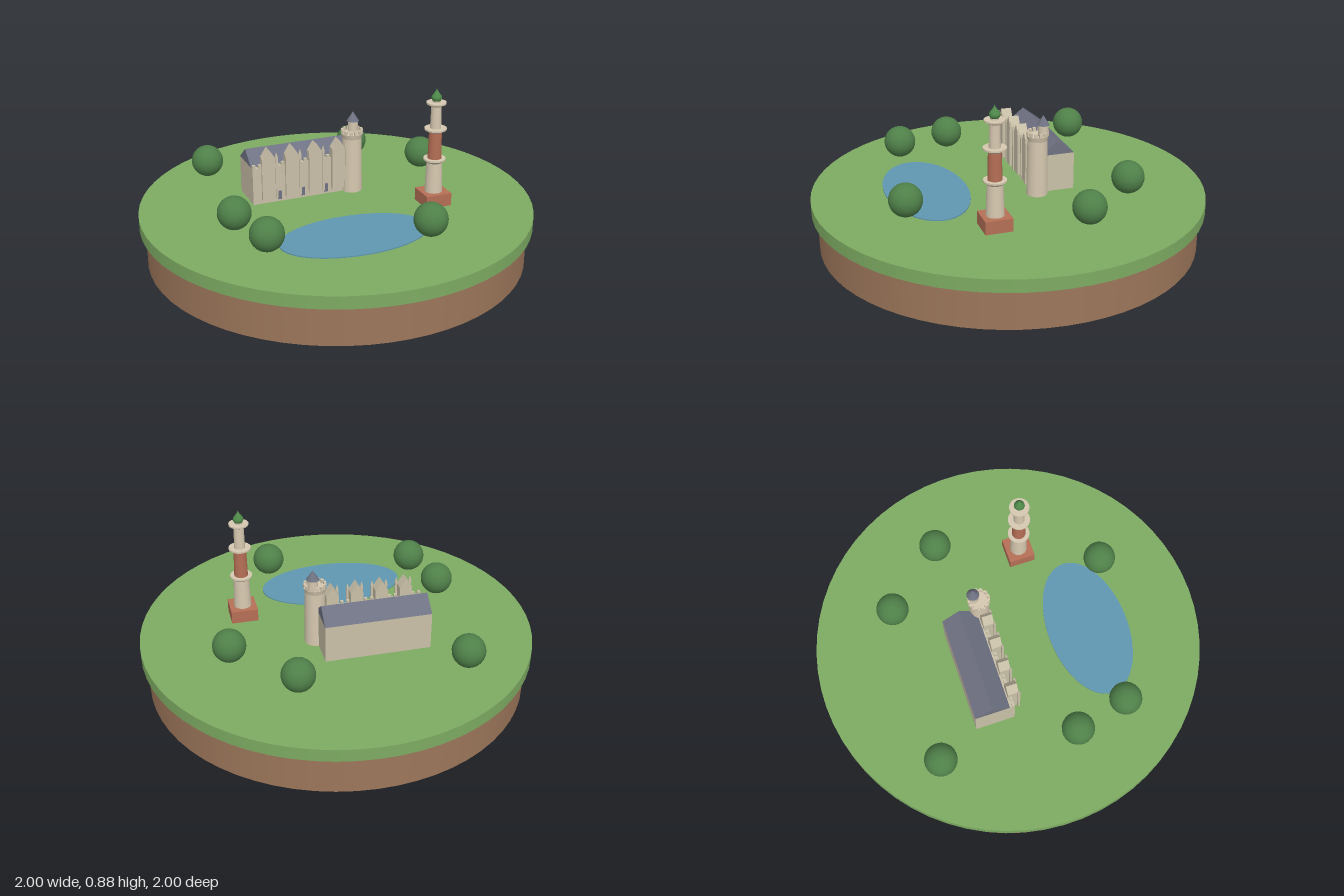
import * as THREE from 'three';

const mat = (name, color, extra = {}) => {
  const m = new THREE.MeshStandardMaterial({ color, ...extra });
  m.name = name;
  return m;
};

export function createModel() {
  const grass = mat('grass', 0x7dab62);
  const earth = mat('earth', 0x9c765a);
  const water = mat('water', 0x5f97b0);
  const stone = mat('stone', 0xc9c0a8);
  const paleStone = mat('pale stone', 0xd6c8b0);
  const slate = mat('slate', 0x6f7282);
  const brick = mat('brick', 0xb56f55);
  const leaf = mat('leaf', 0x4f8049);
  const dome = mat('dome green', 0x4f8a4a);

  const GROUND = 0.265, TURN = -Math.PI / 9;
  const model = new THREE.Group();
  model.name = 'parkIsland';

  const add = (parent, name, geo, material, x = 0, y = 0, z = 0) => {
    const mesh = new THREE.Mesh(geo, material);
    mesh.name = name;
    mesh.position.set(x, y, z);
    parent.add(mesh);
    return mesh;
  };
  const group = (name, x, z, turn = 0) => {
    const g = new THREE.Group();
    g.name = name;
    g.position.set(x, GROUND, z);
    g.rotation.y = turn;
    model.add(g);
    return g;
  };
  // box standing on y0
  const box = (parent, name, m, w, h, d, x, y0, z) =>
    add(parent, name, new THREE.BoxGeometry(w, h, d), m, x, y0 + h / 2, z);
  // cylinder or cone standing on y0
  const drum = (parent, name, m, rTop, rBottom, h, x, y0, z, sides = 32) =>
    add(parent, name, new THREE.CylinderGeometry(rTop, rBottom, h, sides), m, x, y0 + h / 2, z);
  const prism = (points, depth) => new THREE.ExtrudeGeometry(
    new THREE.Shape(points.map(p => new THREE.Vector2(...p))), { depth, bevelEnabled: false });

  // Island
  drum(model, 'earthBase', earth, 0.97, 0.97, 0.2, 0, 0, 0, 64);
  drum(model, 'grassDisc', grass, 1, 1, 0.065, 0, 0.2, 0, 64);

  // Pond
  const pond = group('pond', -0.21, 0.365, TURN);
  drum(pond, 'pondWater', water, 1, 1, 0.006, 0, 0, 0, 64).scale.set(0.378, 1, 0.21);

  // Trees
  [[-0.315, -0.675], [0.47, -0.39], [0.62, 0], [-0.615, -0.045], [-0.645, 0.24], [0.025, 0.635]]
    .forEach(([x, z]) => add(model, 'tree', new THREE.SphereGeometry(0.083, 24, 16), leaf, x, 0.37, z));

  // Hall: walls and pitched roof
  const hall = group('hall', -0.058, -0.253, TURN);
  const L = 0.538, W = 0.18, EAVE = 0.195;
  box(hall, 'hallWalls', stone, L, EAVE, W, 0, 0, 0);
  const roof = prism([[-W / 2, 0], [W / 2, 0], [0, 0.07]], L);
  roof.rotateY(Math.PI / 2);
  add(hall, 'hallRoof', roof, slate, -L / 2, EAVE, 0);

  // Front wall with battlements
  box(hall, 'frontWall', stone, L, EAVE, 0.03, 0, 0, 0.1);
  for (let i = 0; i < 18; i++)
    box(hall, 'merlon', stone, 0.016, 0.018, 0.014, -L / 2 + 0.008 + i * (L - 0.016) / 17, EAVE, 0.108);

  // Gabled bays with corner pinnacles, and dark openings between them
  for (let i = 0; i < 4; i++) {
    const u = -0.19 + i * 0.126;
    add(hall, 'gabledBay', prism(
      [[-0.032, 0.035], [0.032, 0.035], [0.032, 0.25], [0, 0.3], [-0.032, 0.25]], 0.055), stone, u, 0, 0.095);
    for (const s of [-1, 1]) {
      box(hall, 'pinnacleShaft', stone, 0.012, 0.222, 0.012, u + s * 0.036, 0.035, 0.15);
      drum(hall, 'pinnacleTip', stone, 0, 0.009, 0.028, u + s * 0.036, 0.257, 0.15, 4).rotation.y = Math.PI / 4;
    }
    box(hall, 'opening', slate, 0.02, 0.045, 0.006, u + 0.063, 0.012, 0.117);
  }

  // Round tower with battlements and a small turret
  const tower = group('roundTower', 0.163, -0.057, TURN);
  drum(tower, 'towerBody', paleStone, 0.05, 0.054, 0.29, 0, 0, 0);
  drum(tower, 'towerCrown', paleStone, 0.057, 0.05, 0.025, 0, 0.29, 0);
  for (let i = 0; i < 12; i++) {
    const a = i * Math.PI / 6;
    box(tower, 'towerMerlon', paleStone, 0.012, 0.02, 0.016,
      Math.cos(a) * 0.05, 0.315, Math.sin(a) * 0.05).rotation.y = -a;
  }
  drum(tower, 'turret', paleStone, 0.026, 0.026, 0.065, 0.015, 0.305, -0.024, 24);
  drum(tower, 'turretRoof', slate, 0, 0.032, 0.05, 0.015, 0.37, -0.024, 24);

  // Slender lookout tower on a square brick plinth
  const minaret = group('minaret', 0.35, 0.35, TURN);
  box(minaret, 'plinth', brick, 0.137, 0.066, 0.137, 0, 0, 0);
  [
    ['lowerShaft', paleStone, 0.039, 0.045, 0.066, 0.235, 0.056],
    ['middleShaft', brick, 0.032, 0.035, 0.245, 0.395, 0.056],
    ['upperShaft', paleStone, 0.025, 0.028, 0.405, 0.53, 0.05],
  ].forEach(([name, m, rTop, rBottom, y0, y1, rRing]) => {
    drum(minaret, name, m, rTop, rBottom, y1 - y0, 0, y0, 0);
    drum(minaret, 'balconyCorbel', paleStone, rRing, rTop, 0.014, 0, y1 - 0.012, 0);
    drum(minaret, 'balcony', paleStone, rRing, rRing, 0.008, 0, y1 + 0.002, 0);
  });
  drum(minaret, 'lantern', paleStone, 0.02, 0.02, 0.014, 0, 0.538, 0, 24);
  const profile = [[0, 0], [0.021, 0], [0.027, 0.012], [0.024, 0.024], [0.012, 0.04], [0.004, 0.052], [0, 0.064]];
  add(minaret, 'onionDome', new THREE.LatheGeometry(profile.map(p => new THREE.Vector2(...p)), 24), dome, 0, 0.548, 0);

  return model;
}
